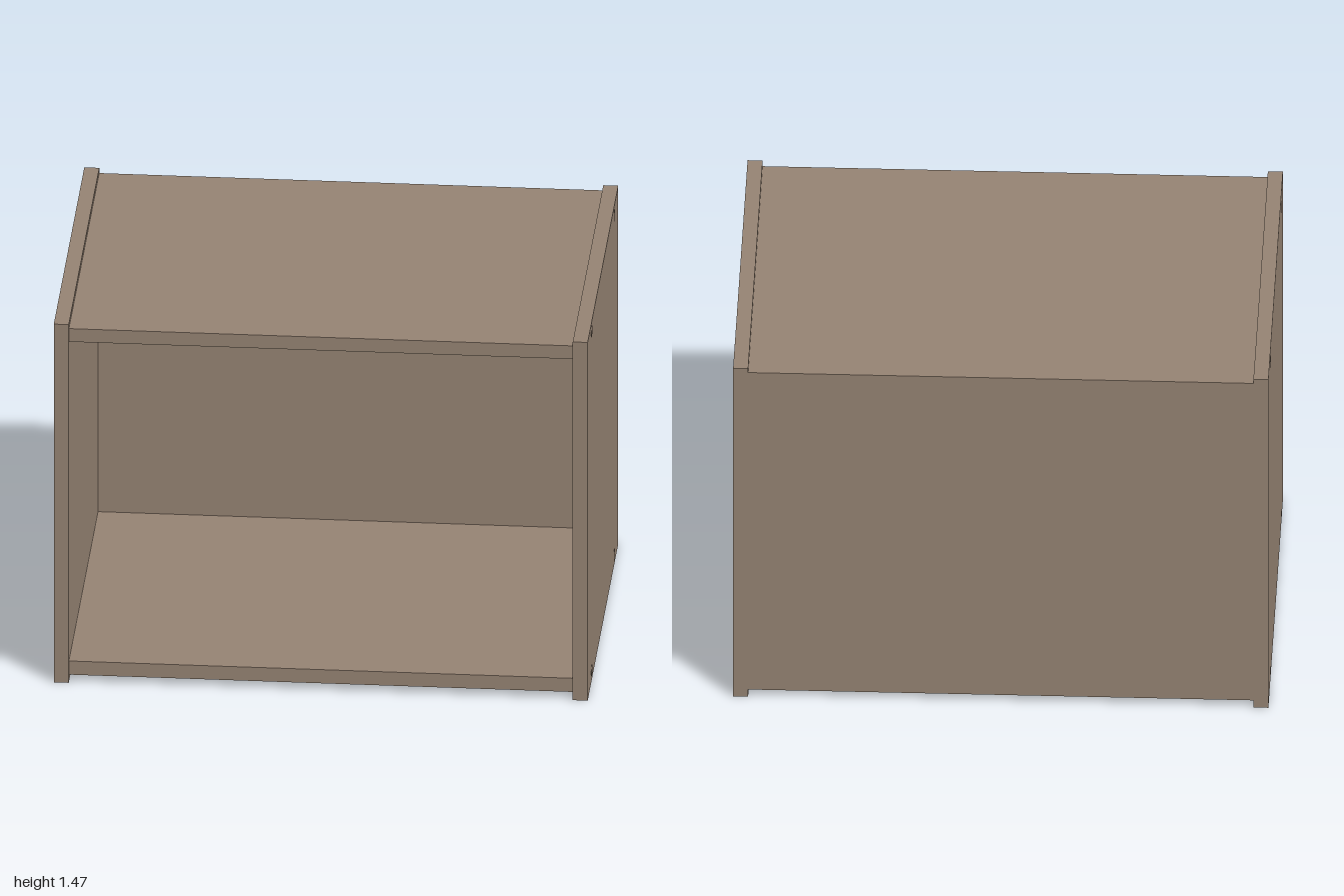
import * as THREE from 'three';

export function createModel() {
  const group = new THREE.Group();
  group.name = 'openCabinet';
  const wood = new THREE.MeshStandardMaterial({ color: 0x968474 });
  wood.name = 'taupe wood';

  // Box given by its minimum and maximum corners
  function panel(name, min, max) {
    const size = max.map((v, i) => v - min[i]);
    const mesh = new THREE.Mesh(new THREE.BoxGeometry(...size), wood);
    mesh.position.set(...max.map((v, i) => (v + min[i]) / 2));
    mesh.name = name;
    group.add(mesh);
  }

  const inner = 0.943, back = -0.695, front = 0.69;

  // Horizontal boards and the back board between them
  panel('bottomPanel', [-inner, 0.03, back], [inner, 0.086, front]);
  panel('topPanel', [-inner, 1.398, back], [inner, 1.452, front]);
  panel('backPanel', [-inner, 0.086, back], [inner, 1.398, -0.64]);

  // Side boards stand slightly proud all round, with flush dowel caps
  const capGeometry = new THREE.CylinderGeometry(0.023, 0.023, 0.01, 24);
  capGeometry.rotateZ(Math.PI / 2);
  for (const [side, s] of [['left', 1], ['right', -1]]) {
    const xs = [s * inner, s * 0.999].sort((a, b) => a - b);
    panel(side + 'SidePanel', [xs[0], 0, -0.698], [xs[1], 1.472, 0.698]);
    for (const y of [0.04, 1.434]) {
      for (const z of [-0.517, 0.517]) {
        const cap = new THREE.Mesh(capGeometry, wood);
        cap.position.set(s * 0.995, y, z);
        cap.name = side + 'DowelCap';
        group.add(cap);
      }
    }
  }
  return group;
}
